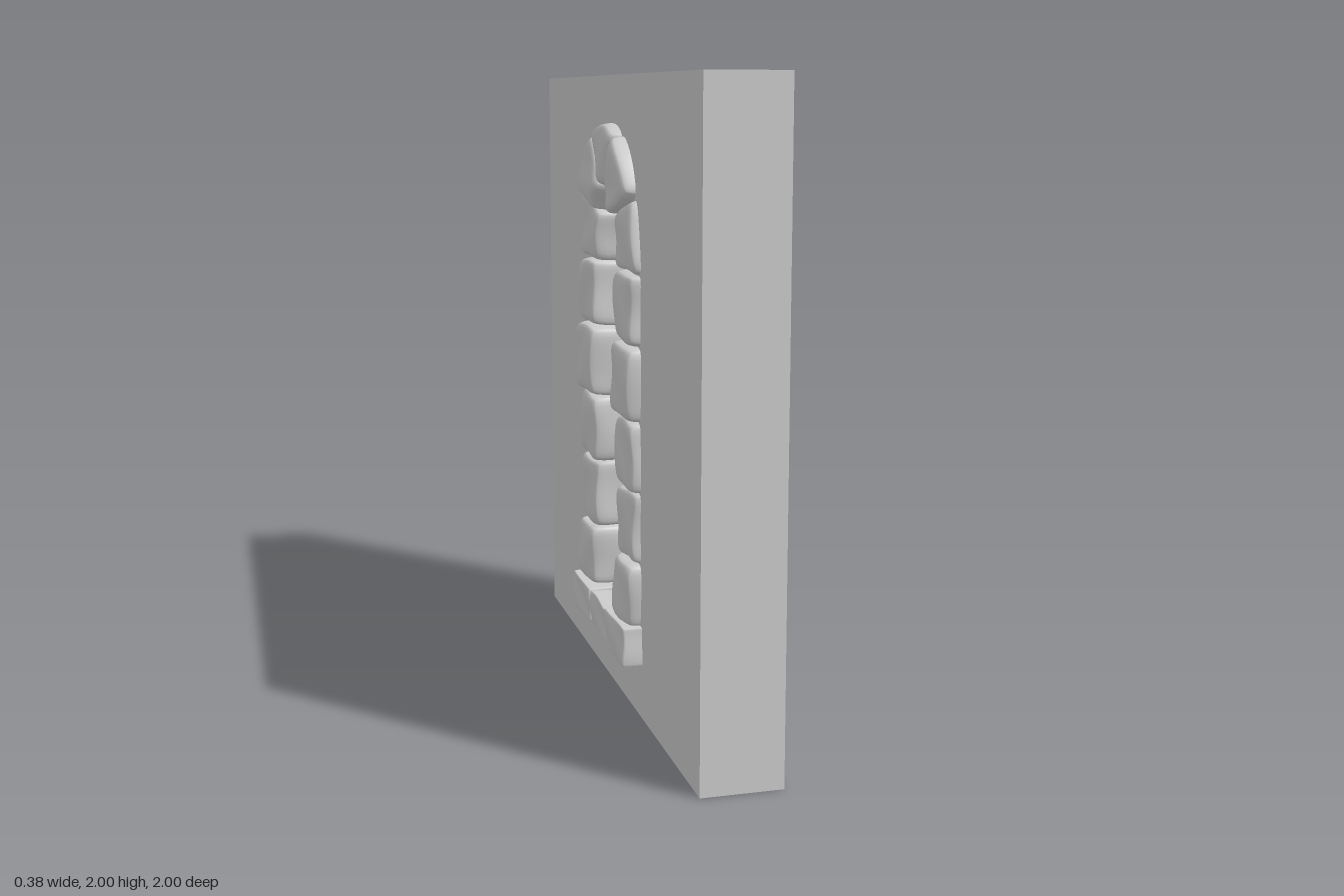
import * as THREE from 'three';
import { mergeVertices } from 'three/addons/utils/BufferGeometryUtils.js';

const material = new THREE.MeshStandardMaterial({ color: 0xcccccc });

// Pillow-shaped block fitted to four [z, y] corners:
// inner bottom, outer bottom, outer top, inner top (side -1 mirrors it in z).
function stone(name, corners, { side = 1, front = 0.175, back = 0.17, bulge = 0, sharp = 9, seed = 0, wobble = 0.004 }) {
  let geo = new THREE.BoxGeometry(2, 2, 2, 12, 12, 12);
  geo.deleteAttribute('uv');
  geo.deleteAttribute('normal');
  geo = mergeVertices(geo);
  const pos = geo.attributes.position;
  const [a, b, c, d] = corners.map(p => new THREE.Vector2(...p));
  const outward = b.clone().add(c).sub(a).sub(d).normalize();
  const p = new THREE.Vector3();
  const low = new THREE.Vector2(), high = new THREE.Vector2();
  for (let i = 0; i < pos.count; i++) {
    // crowd the grid toward the edges, then round them as a superellipsoid
    const q = p.fromBufferAttribute(pos, i).toArray().map(t => Math.sin(t * Math.PI / 2));
    const len = q.reduce((s, t) => s + Math.abs(t) ** sharp, 0) ** (1 / sharp);
    const [w, v, uRaw] = q.map(t => t / len);
    const u = uRaw * side;
    low.lerpVectors(a, b, (u + 1) / 2);
    high.lerpVectors(d, c, (u + 1) / 2);
    low.lerp(high, (v + 1) / 2);
    low.addScaledVector(outward, bulge * (1 - v * v) * (u + 1) / 2);
    // gentle hand-cut unevenness
    const n1 = wobble * Math.sin(2.3 * v + 1.9 * w + seed * 2.1);
    const n2 = wobble * Math.sin(2.7 * u - 2.1 * w + seed * 3.7);
    const n3 = wobble * Math.sin(2.9 * v + 2.2 * u + seed * 1.3);
    pos.setXYZ(i, w * (w > 0 ? front : back) + n3, low.y + n2, side * (low.x + n1));
  }
  geo.computeVertexNormals();
  const mesh = new THREE.Mesh(geo, material);
  mesh.name = name;
  return mesh;
}

// Wall slab with an arched opening hidden behind the middle of the stones
function wall() {
  const shape = new THREE.Shape([[-1, 0], [1, 0], [1, 2], [-1, 2]].map(p => new THREE.Vector2(...p)));
  const half = [[0.25, 0.23], [0.25, 1.4], [0.215, 1.59], [0.095, 1.73]];
  const outline = [...half, [0, 1.755], ...half.map(([z, y]) => [-z, y]).reverse()];
  shape.holes.push(new THREE.Path(outline.map(p => new THREE.Vector2(...p))));
  const geo = new THREE.ExtrudeGeometry(shape, { depth: 0.25, bevelEnabled: false });
  geo.translate(0, 0, -0.125).rotateY(-Math.PI / 2);
  const mesh = new THREE.Mesh(geo, material);
  mesh.name = 'wall';
  return mesh;
}

export function createModel() {
  const model = new THREE.Group();
  model.name = 'archedWindowWall';
  model.add(wall());

  // Jamb stones stacked on both sides, then two arch stones per side
  const levels = [0.285, 0.492, 0.72, 0.945, 1.18, 1.4];
  const backs = [0.173, 0.158, 0.164, 0.178, 0.167];
  const jambs = new THREE.Group();
  jambs.name = 'jambs';
  const arch = new THREE.Group();
  arch.name = 'arch';
  for (const side of [1, -1]) {
    const label = side > 0 ? 'Front' : 'Rear';
    for (let i = 0; i < 5; i++) {
      const y0 = levels[i], y1 = levels[i + 1];
      jambs.add(stone(`jambStone${label}${i + 1}`,
        [[0.146, y0], [0.353, y0], [0.353, y1], [0.146, y1]],
        { side, back: backs[i], seed: i * 2 + side }));
    }
    arch.add(stone(`springerStone${label}`,
      [[0.146, 1.4], [0.357, 1.4], [0.303, 1.635], [0.12, 1.56]],
      { side, back: 0.158, bulge: 0.014, seed: 11 + side }));
    arch.add(stone(`archStone${label}`,
      [[0.12, 1.56], [0.308, 1.635], [0.135, 1.82], [0.058, 1.645]],
      { side, back: 0.178, bulge: 0.025, seed: 15 + side }));
  }
  arch.add(stone('keystone', [[0.058, 1.65], [0.138, 1.82], [-0.142, 1.82], [-0.058, 1.65]],
    { back: 0.173, bulge: 0.034, seed: 19 }));
  model.add(jambs, arch);

  // Sill of three squared slabs
  const sill = new THREE.Group();
  sill.name = 'sill';
  const slabs = [
    [0.12, 0.365, 0.17, 0.294],
    [-0.115, 0.124, 0.178, 0.284],
    [-0.365, -0.112, 0.176, 0.29],
  ];
  slabs.forEach(([z0, z1, y0, y1], i) => {
    const depth = i === 1 ? 0.183 : 0.188;
    sill.add(stone(`sillSlab${i + 1}`, [[z0, y0], [z1, y0], [z1, y1], [z0, y1]],
      { front: depth, back: depth, sharp: 40, seed: 23 + i, wobble: 0.003 }));
  });
  model.add(sill);
  return model;
}
